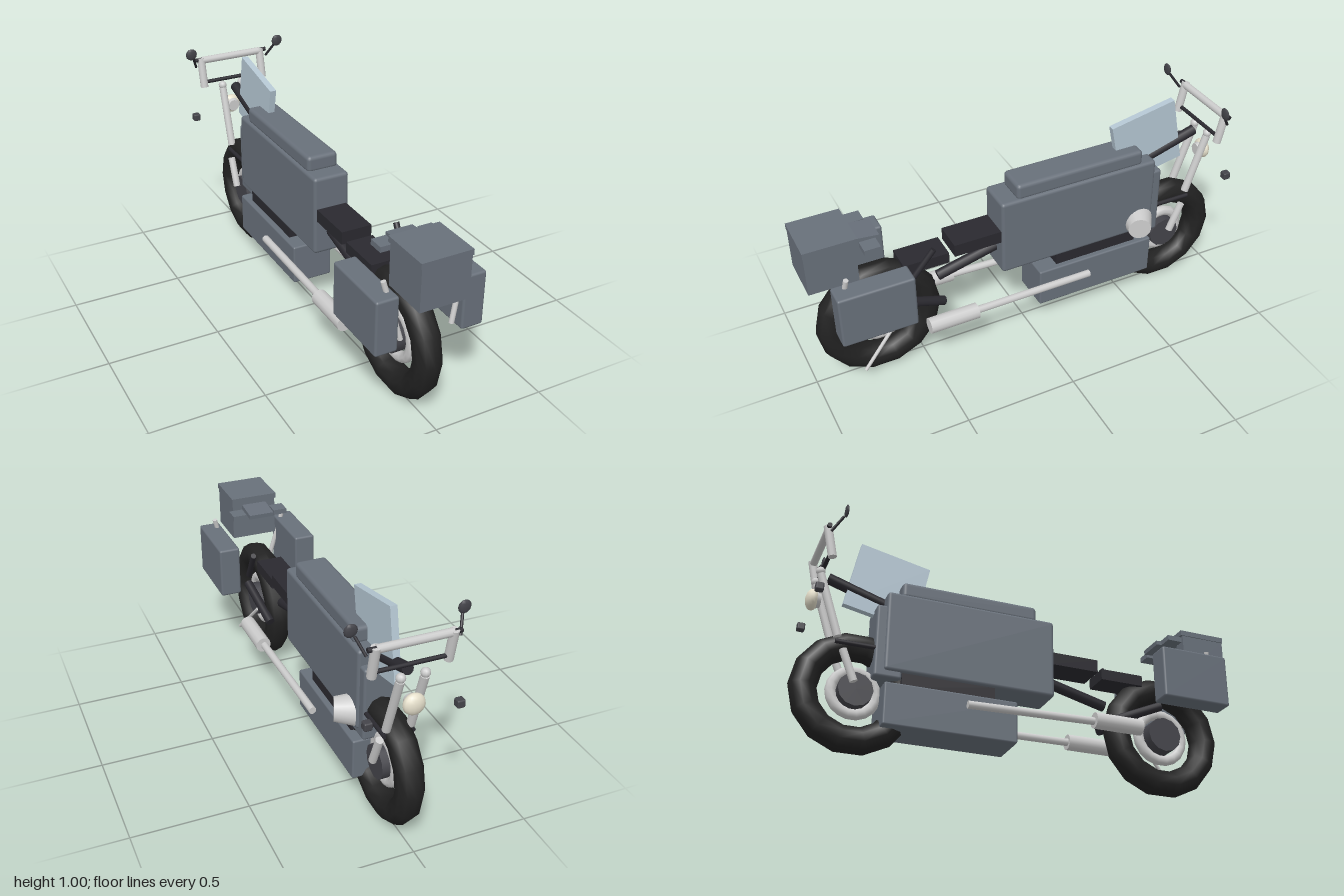
import * as THREE from 'three';
import { RoundedBoxGeometry } from 'three/addons/geometries/RoundedBoxGeometry.js';

const mat = (color) => new THREE.MeshStandardMaterial({ color });
const PAINT = mat(0x68707a), DARK = mat(0x2a292f), RUBBER = mat(0x222222);
const METAL = mat(0xcccccc), IRON = mat(0x44444a), GLASS = mat(0xb4c6d2), LAMP = mat(0xe6e0cc);

export function createModel() {
  const model = new THREE.Group();
  model.name = 'motorcycle';

  const add = (name, geometry, material, parent = model) => {
    const mesh = new THREE.Mesh(geometry, material);
    mesh.name = name;
    parent.add(mesh);
    return mesh;
  };
  // Box from its low and high corners, with optional rounded edges
  const box = (name, lo, hi, material, round = 0) => {
    const s = lo.map((v, i) => hi[i] - v);
    const geometry = round ? new RoundedBoxGeometry(...s, 2, round) : new THREE.BoxGeometry(...s);
    const mesh = add(name, geometry, material);
    mesh.position.set(...lo.map((v, i) => (v + hi[i]) / 2));
    return mesh;
  };
  // Round bar between two points, r at a and r2 at b
  const bar = (name, a, b, r, material, r2 = r, sides = 12) => {
    const p = new THREE.Vector3(...a), q = new THREE.Vector3(...b);
    const mesh = add(name, new THREE.CylinderGeometry(r2, r, p.distanceTo(q), sides), material);
    mesh.position.copy(p).add(q).multiplyScalar(0.5);
    mesh.quaternion.setFromUnitVectors(new THREE.Vector3(0, 1, 0), q.sub(p).normalize());
    return mesh;
  };

  // Wheels
  const wheel = (name, y, z, ring, tube, rim, hub) => {
    const group = new THREE.Group();
    group.name = name;
    group.position.set(0, y, z);
    group.rotation.y = Math.PI / 2;
    add('tyre', new THREE.TorusGeometry(ring, tube, 10, 14), RUBBER, group);
    add('rim', new THREE.TorusGeometry(rim, 0.024, 8, 18), METAL, group);
    add('hub', new THREE.CylinderGeometry(hub, hub, 0.1, 12).rotateX(Math.PI / 2), IRON, group);
    model.add(group);
  };
  wheel('rearWheel', 0.275, 0.69, 0.222, 0.06, 0.11, 0.08);
  wheel('frontWheel', 0.262, -0.733, 0.208, 0.059, 0.094, 0.074);

  // Body and engine
  box('body', [-0.083, 0.355, -0.63], [0.083, 0.72, 0.134], PAINT, 0.015);
  box('noseCover', [-0.073, 0.325, -0.67], [0.073, 0.655, -0.55], PAINT, 0.012);
  box('tankTop', [-0.072, 0.71, -0.565], [0.072, 0.785, 0.055], PAINT, 0.018);
  box('engineTop', [-0.07, 0.29, -0.55], [0.07, 0.36, -0.14], DARK);
  box('engine', [-0.095, 0.11, -0.627], [0.095, 0.297, -0.045], PAINT, 0.008);
  bar('airIntake', [0.06, 0.41, -0.565], [0.14, 0.41, -0.532], 0.07, METAL, 0.052, 16);

  // Seats and frame
  box('seat', [-0.07, 0.517, 0.125], [0.07, 0.575, 0.352], DARK);
  box('passengerSeat', [-0.062, 0.49, 0.375], [0.062, 0.54, 0.58], DARK);
  bar('rearFrame', [0, 0.385, 0.41], [0, 0.46, 0.12], 0.024, DARK);
  bar('steeringFrame', [0, 0.685, -0.6], [0, 0.77, -0.875], 0.024, DARK);
  bar('rearStrut', [0.104, 0.47, 0.585], [0.118, 0.63, 0.465], 0.013, DARK);
  bar('sideStand', [0.09, 0.065, 0.8], [0.05, 0.25, 0.625], 0.008, METAL);

  // Windscreen
  const screen = box('windscreen', [-0.015, 0.622, -0.778], [0.015, 0.935, -0.46], GLASS);
  screen.rotation.x = 0.2;

  // Top box, lid and front ledge
  box('topBox', [-0.108, 0.58, 0.785], [0.108, 0.77, 0.998], PAINT);
  box('topBoxLid', [-0.112, 0.765, 0.775], [0.112, 0.79, 1], PAINT);
  box('ledge', [-0.06, 0.725, 0.67], [0.06, 0.745, 0.785], PAINT).rotation.x = -0.1;

  // Handlebar
  bar('handlebar', [-0.153, 0.914, -0.918], [0.153, 0.914, -0.918], 0.017, METAL);
  bar('lowerCrossbar', [-0.145, 0.808, -0.9], [0.145, 0.808, -0.9], 0.009, DARK);

  // Headlight
  bar('headlightCase', [0, 0.655, -0.9], [0, 0.655, -0.935], 0.028, METAL, 0.04);
  const lens = add('headlightLens', new THREE.SphereGeometry(0.046, 14, 10), LAMP);
  lens.position.set(0, 0.655, -0.935);
  lens.scale.z = 0.6;

  // Mirrored parts
  for (const s of [-1, 1]) {
    const side = s > 0 ? 'left' : 'right';
    const pair = (name, a, b, r, material) =>
      bar(side + name, [s * a[0], a[1], a[2]], [s * b[0], b[1], b[2]], r, material);
    const block = (name, lo, hi, material, round) => box(side + name,
      [s > 0 ? lo[0] : -hi[0], lo[1], lo[2]], [s > 0 ? hi[0] : -lo[0], hi[1], hi[2]], material, round);

    // Fork
    pair('ForkTube', [0.05, 0.755, -0.915], [0.052, 0.48, -0.825], 0.018, METAL);
    pair('ForkLeg', [0.066, 0.42, -0.802], [0.066, 0.285, -0.748], 0.017, METAL);
    pair('ForkBrace', [0.06, 0.455, -0.65], [0.06, 0.455, -0.835], 0.01, DARK);
    add(side + 'ForkCap', new THREE.SphereGeometry(0.02, 10, 8), METAL)
      .position.set(s * 0.05, 0.768, -0.917);

    // Bar riser, end, mirror and indicator
    pair('BarRiser', [0.155, 0.925, -0.922], [0.155, 0.785, -0.893], 0.019, METAL);
    pair('BarEnd', [0.15, 0.917, -0.92], [0.187, 0.917, -0.92], 0.01, DARK);
    pair('MirrorStem', [0.186, 0.888, -0.912], [0.213, 0.952, -0.87], 0.006, DARK);
    const mirror = add(side + 'Mirror', new THREE.SphereGeometry(0.028, 8, 6), IRON);
    mirror.position.set(s * 0.225, 0.973, -0.862);
    mirror.scale.z = 0.3;
    block('Indicator', [0.172, 0.598, -0.957], [0.206, 0.632, -0.923], IRON, 0.006);

    // Swingarm and exhaust
    pair('Swingarm', [0.087, 0.39, 0.65], [0.062, 0.29, 0.41], 0.021, DARK);
    pair('ExhaustPipe', [0.127, 0.235, -0.28], [0.138, 0.245, 0.32], 0.017, METAL);
    pair('Muffler', [0.142, 0.247, 0.29], [0.142, 0.247, 0.515], 0.036, METAL);

    // Pannier, its stay and side ledge
    block('Pannier', [0.143, 0.375, 0.593], [0.242, 0.617, 0.92], PAINT, 0.01);
    pair('PannierStay', [0.18, 0.66, 0.86], [0.115, 0.4, 0.89], 0.011, METAL);
    block('SideLedge', [0.07, 0.714, 0.69], [0.135, 0.738, 0.76], PAINT);
  }
  return model;
}
